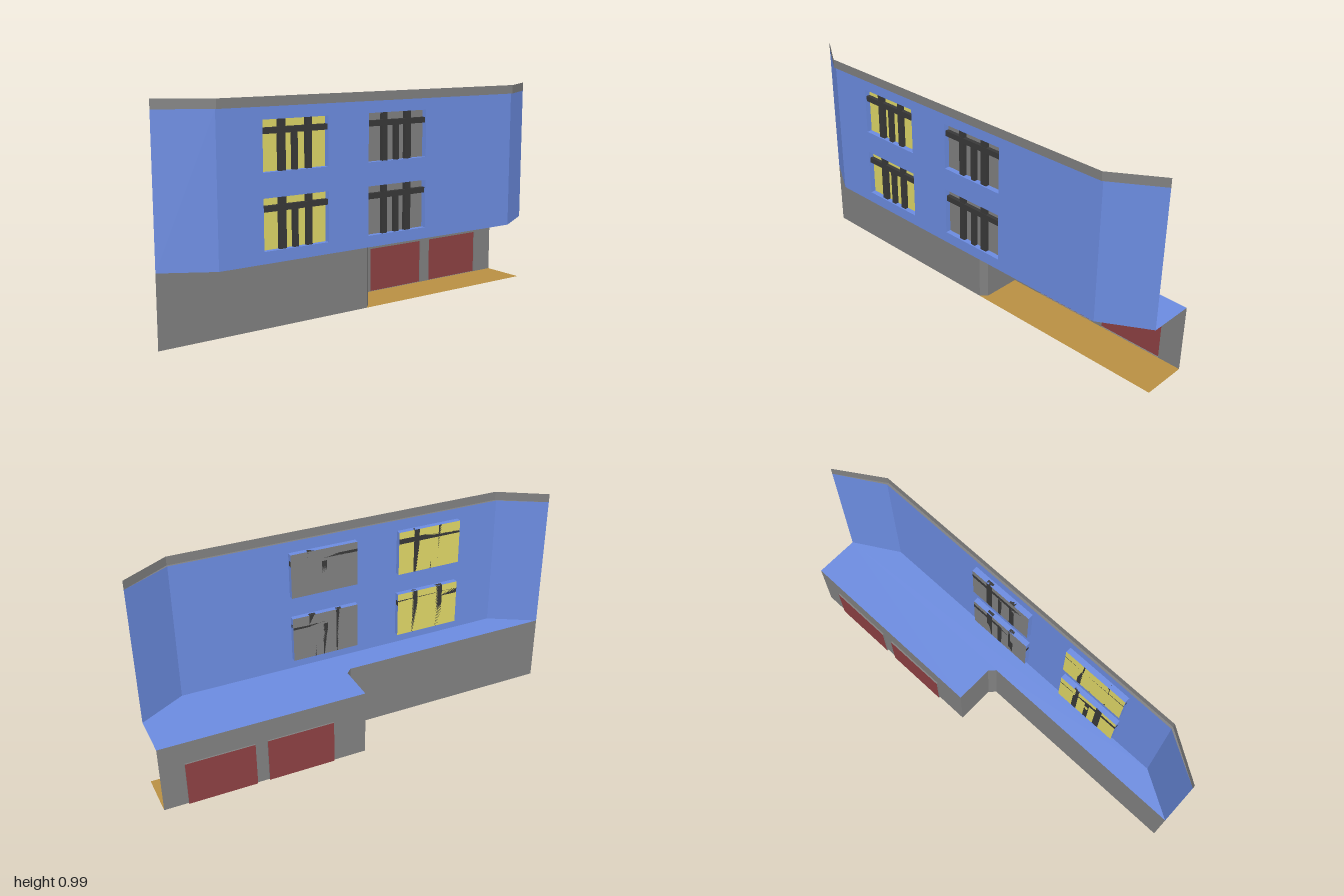
import * as THREE from 'three';

const paint = (name, color) => {
  const m = new THREE.MeshStandardMaterial({ color, side: THREE.DoubleSide });
  m.name = name;
  return m;
};

export function createModel() {
  const blue = paint('blue render', 0x6b8bdf);
  const grey = paint('grey stone', 0x7f7f7f);
  const yellow = paint('lit glass', 0xddd566);
  const dark = paint('dark frame', 0x383838);
  const red = paint('red door', 0x8c4042);
  const tan = paint('tan paving', 0xb88f42);

  const model = new THREE.Group();
  model.name = 'facade';
  const add = (parent, name, geo, mat) => {
    const mesh = new THREE.Mesh(geo, mat);
    mesh.name = name;
    parent.add(mesh);
    return mesh;
  };

  // Flat-faced band of quads between two matching lists of [x, y, z] points
  const ribbon = (a, b) => {
    const pos = [];
    for (let i = 0; i + 1 < a.length; i++) {
      pos.push(...a[i], ...a[i + 1], ...b[i + 1], ...a[i], ...b[i + 1], ...b[i]);
    }
    const geo = new THREE.BufferGeometry();
    geo.setAttribute('position', new THREE.Float32BufferAttribute(pos, 3));
    geo.computeVertexNormals();
    return geo;
  };
  const at = (path, y) => path.map(([x, z]) => [x, y, z]);
  const wall = (path, y0, y1) => ribbon(at(path, y0), at(path, y1));

  // Horizontal sheet from an [x, z] outline
  const sheet = (outline, y) => new THREE.ShapeGeometry(
    new THREE.Shape(outline.map(([x, z]) => new THREE.Vector2(x, -z)))
  ).rotateX(-Math.PI / 2).translate(0, y, 0);

  // Wall facing +x with rectangular openings { z0, z1, y0, y1 }, z0 > z1
  const corners = (r) => [[r.z0, r.y0], [r.z1, r.y0], [r.z1, r.y1], [r.z0, r.y1]];
  const piercedWall = (x, rect, holes) => {
    const toShape = (r, C) => new C(corners(r).map(([z, y]) => new THREE.Vector2(-z, y)));
    const shape = toShape(rect, THREE.Shape);
    holes.forEach((h) => shape.holes.push(toShape(h, THREE.Path)));
    return new THREE.ShapeGeometry(shape).rotateY(Math.PI / 2).translate(x, 0, 0);
  };
  // Sides of an opening running back from the wall face
  const reveal = (r, xFront, xBack) => {
    const c = corners(r);
    c.push(c[0]);
    return ribbon(c.map(([z, y]) => [xFront, y, z]), c.map(([z, y]) => [xBack, y, z]));
  };
  const box = (x0, x1, y0, y1, z0, z1) =>
    new THREE.BoxGeometry(x1 - x0, y1 - y0, Math.abs(z1 - z0))
      .translate((x0 + x1) / 2, (y0 + y1) / 2, (z0 + z1) / 2);

  const FLOOR = 0.315, EAVES = 0.95, TOP = 0.99;
  const LINE = 0.04, BACK = -0.172, BAY = 0.165;

  // Ground storey: street wall, rounded-off corner and recessed garage wall
  const recess = [[LINE, -0.028], [0.012, -0.055], [BACK, -0.055]];
  add(model, 'groundWall', wall([[LINE, 1], ...recess, [BACK, -1]].slice(0, 4), 0, FLOOR), grey);
  const doors = [-0.212, -0.58].map((z) => ({ z0: z, z1: z - 0.312, y0: 0, y1: 0.21 }));
  // Openings stop just above the wall's base so the outline stays closed
  const openings = doors.map((d) => ({ ...d, y0: 0.001 }));
  add(model, 'garageWall', piercedWall(BACK, { z0: -0.055, z1: -1, y0: 0, y1: FLOOR }, openings), grey);
  doors.forEach((d) => {
    add(model, 'doorReveal', reveal(d, BACK, -0.179), grey);
    add(model, 'garageDoor', piercedWall(-0.179, d, []), red);
  });
  add(model, 'paving', sheet([...recess, [BACK, -1], [LINE, -1]], 0), tan);

  // Floor of the upper storeys, overhanging the street
  const bayPath = [[LINE, 1], [BAY, 0.79], [BAY, -0.79], [LINE, -1]];
  add(model, 'upperFloor', sheet([...bayPath, [BACK, -1], ...recess.slice().reverse()], FLOOR), blue);

  // Upper walls with four windows
  const windows = [];
  for (const [y0, y1] of [[0.366, 0.583], [0.687, 0.898]]) {
    windows.push({ z0: 0.583, z1: 0.267, y0, y1, glass: yellow, flip: false });
    windows.push({ z0: 0.058, z1: -0.262, y0, y1, glass: grey, flip: true });
  }
  add(model, 'upperWall', piercedWall(BAY, { z0: 0.79, z1: -0.79, y0: FLOOR, y1: EAVES }, windows), blue);
  add(model, 'frontSplay', wall(bayPath.slice(0, 2), FLOOR, EAVES), blue);
  add(model, 'rearSplay', wall(bayPath.slice(2), FLOOR, EAVES), blue);

  const PANE = 0.14, BAR = 0.158;
  windows.forEach((w) => {
    const group = new THREE.Group();
    group.name = 'window';
    model.add(group);
    add(group, 'windowReveal', reveal(w, BAY, PANE), blue);
    add(group, 'pane', piercedWall(PANE, w, []), w.glass);
    const t0 = w.y1 - 0.058, t1 = w.y1 - 0.033;
    add(group, 'transom', box(PANE, BAR, t0, t1, w.z0, w.z1), dark);
    // Upright bars: the middle one stops at the transom
    for (const [a, b, full] of [[0.08, 0.112, true], [0.147, 0.17, false], [0.212, 0.239, true]]) {
      const z = (d) => (w.flip ? w.z1 + d : w.z0 - d);
      add(group, 'mullion', box(PANE, BAR - 0.001, w.y0, full ? w.y1 : t0, z(a), z(b)), dark);
    }
  });

  // Cornice: upright band with a narrow soffit
  const cornicePath = [[LINE, 1], [0.175, 0.79], [0.175, -0.79], [LINE, -1]];
  add(model, 'cornice', wall(cornicePath, EAVES, TOP), grey);
  add(model, 'soffit', ribbon(at(bayPath, EAVES), at(cornicePath, EAVES)), grey);

  return model;
}
